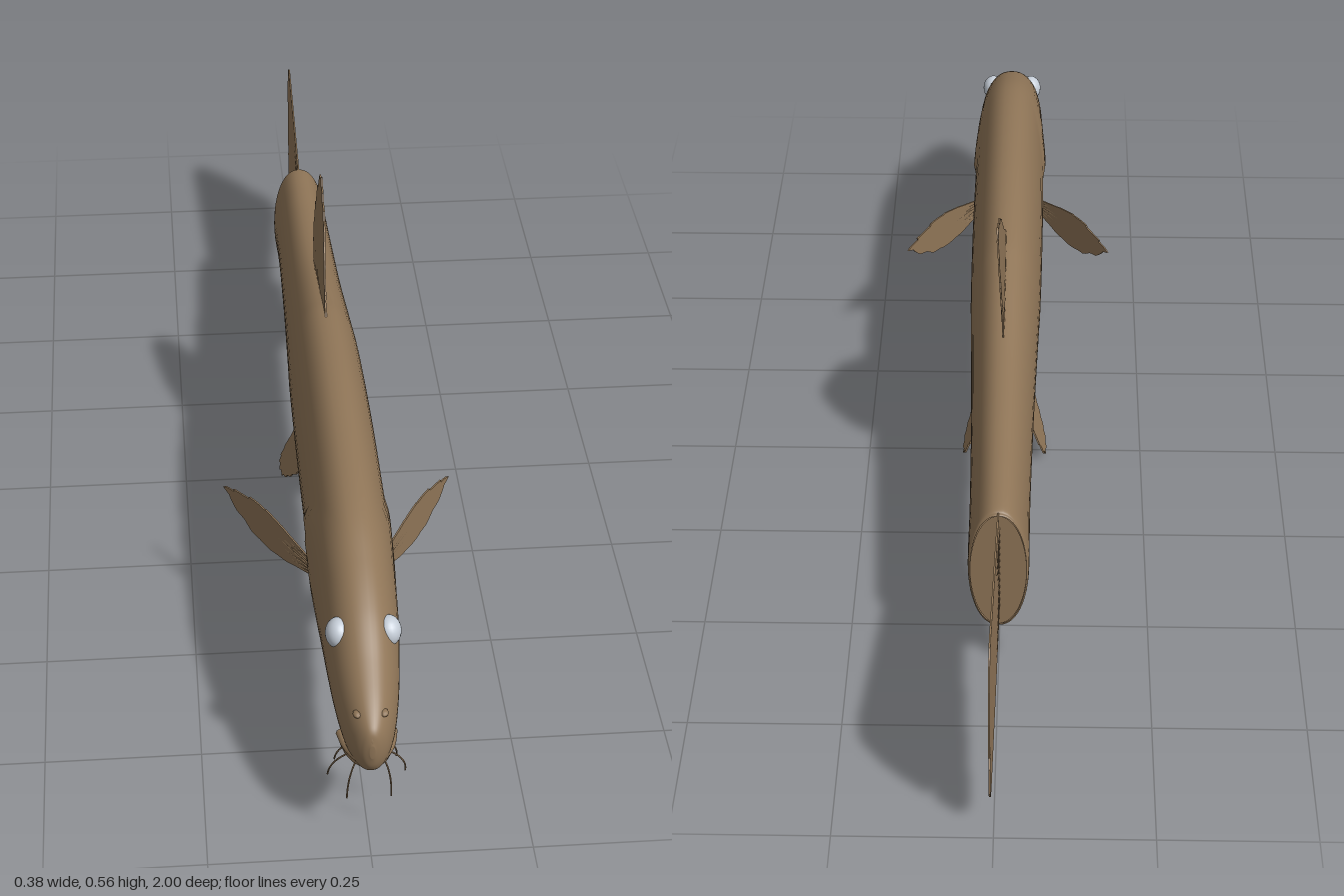
import * as THREE from 'three';
import { mergeGeometries } from 'three/addons/utils/BufferGeometryUtils.js';

const skin = new THREE.MeshStandardMaterial({ color: 0x8f7557, side: THREE.DoubleSide });
skin.name = 'brown skin';
const eyeMat = new THREE.MeshStandardMaterial({ color: 0xc6ced8 });
eyeMat.name = 'pale eye';

const V = (x, y, z) => new THREE.Vector3(x, y, z);

function add(parent, geometry, material, name) {
  const mesh = new THREE.Mesh(geometry, material);
  mesh.name = name;
  parent.add(mesh);
  return mesh;
}

// Body stations from tail to snout: z, belly height, back height, half width
const stations = [
  [-0.6, 0.097, 0.32, 0.046], [-0.585, 0.09, 0.328, 0.05], [-0.5, 0.112, 0.335, 0.05],
  [-0.4, 0.13, 0.343, 0.051], [-0.2, 0.138, 0.365, 0.055], [0, 0.138, 0.403, 0.061],
  [0.1, 0.138, 0.419, 0.064], [0.3, 0.14, 0.431, 0.066], [0.5, 0.146, 0.428, 0.066],
  [0.65, 0.155, 0.415, 0.065], [0.75, 0.164, 0.388, 0.062], [0.83, 0.162, 0.355, 0.057],
  [0.9, 0.156, 0.313, 0.049], [0.95, 0.155, 0.283, 0.039], [0.98, 0.165, 0.262, 0.027],
  [0.994, 0.182, 0.248, 0.015], [1, 0.205, 0.228, 0.004],
];

// Raised gill cover ending in a V-shaped rear edge
function gillSwell(y, z) {
  if (y < 0.18 || y > 0.4) return 1;
  const edge = y < 0.31 ? 0.5 + (0.31 - y) * 1.8 : 0.5 + (y - 0.31) * 1.7;
  const { smoothstep } = THREE.MathUtils;
  const fade = Math.sin(Math.PI * (y - 0.18) / 0.22);
  return 1 + 0.07 * fade * smoothstep(z, edge, edge + 0.025) * (1 - smoothstep(z, edge + 0.03, edge + 0.2));
}

function bodyGeometry() {
  const heights = new THREE.CatmullRomCurve3(stations.map(s => V(s[0], s[1], s[2])), false, 'catmullrom', 0.5);
  const widths = new THREE.CatmullRomCurve3(stations.map(s => V(s[3], 0, 0)), false, 'catmullrom', 0.5);
  const rings = 192, sides = 48, pos = [], index = [];
  for (let i = 0; i <= rings; i++) {
    const h = heights.getPoint(i / rings), w = widths.getPoint(i / rings).x;
    for (let j = 0; j < sides; j++) {
      const a = j / sides * Math.PI * 2, c = Math.cos(a);
      const y = (h.y + h.z) / 2 + Math.sin(a) * (h.z - h.y) / 2;
      const x = w * Math.sign(c) * Math.pow(Math.abs(c), 0.9) * gillSwell(y, h.x);
      pos.push(x, y, h.x);
      if (i < rings) {
        const p = i * sides + j, q = i * sides + (j + 1) % sides;
        index.push(p, q, p + sides, q, q + sides, p + sides);
      }
    }
  }
  // close the snout tip
  const last = rings * sides, tip = pos.length / 3;
  pos.push(0, 0.216, 1);
  for (let j = 0; j < sides; j++) index.push(last + j, last + (j + 1) % sides, tip);
  const g = new THREE.BufferGeometry();
  g.setAttribute('position', new THREE.Float32BufferAttribute(pos, 3));
  g.setIndex(index);
  g.computeVertexNormals();
  return g;
}

// Tapered rod between two points, used for fin rays
function rod(a, b, r) {
  const dir = b.clone().sub(a), g = new THREE.CylinderGeometry(r * 0.2, r, dir.length(), 5);
  g.applyQuaternion(new THREE.Quaternion().setFromUnitVectors(V(0, 1, 0), dir.clone().normalize()));
  const m = a.clone().add(b).multiplyScalar(0.5);
  return g.translate(m.x, m.y, m.z);
}

// Thin fin: outline in (u, v), with the first and last points on the body;
// place() maps (u, v, thickness offset) into the model
function fin(parent, name, outline, place, { teeth = 0, rays = 7, reach = 0.7, smooth = true } = {}) {
  const pts = outline.map(p => new THREE.Vector2(...p));
  const root = pts[0].clone().lerp(pts[pts.length - 1], 0.5);
  let edge = pts;
  if (smooth) {
    const n = 48;
    edge = new THREE.SplineCurve(pts).getPoints(n).map((p, i) => {
      const inner = i < 6 || i > n - 6;
      return inner ? p : p.sub(root).multiplyScalar(1 - teeth * (i % 4) / 3).add(root);
    });
  }
  const plate = new THREE.ExtrudeGeometry(new THREE.Shape(edge), { depth: 0.003, bevelEnabled: false });
  const at = plate.attributes.position;
  for (let i = 0; i < at.count; i++) {
    const p = place(at.getX(i), at.getY(i), at.getZ(i) - 0.0015);
    at.setXYZ(i, p.x, p.y, p.z);
  }
  plate.computeVertexNormals();
  const group = new THREE.Group();
  group.name = name;
  parent.add(group);
  add(group, plate, skin, name + 'Web');

  // fan of rays from the base toward the outer edge
  const parts = [];
  for (let i = 0; i < rays; i++) {
    const t = (i + 0.5) / rays;
    const a = pts[0].clone().lerp(pts[pts.length - 1], 0.1 + 0.8 * t);
    const k = (0.2 + 0.6 * t) * (edge.length - 1);
    const b = a.clone().lerp(edge[Math.round(k)], smooth ? reach : 0);
    if (!smooth) b.set(a.x - 0.12 - 0.14 * Math.abs(2 * t - 1), a.y + (a.y - root.y) * 0.22);
    parts.push(rod(place(a.x, a.y, 0), place(b.x, b.y, 0), 0.0032));
  }
  add(group, mergeGeometries(parts), skin, name + 'Rays');
}

export function createModel() {
  const fish = new THREE.Group();
  fish.name = 'fish';
  add(fish, bodyGeometry(), skin, 'body');

  // flat rear end of the body behind the tail fin base
  const rear = new THREE.CircleGeometry(1, 48);
  rear.scale(0.046, 0.1115, 1).rotateY(Math.PI).translate(0, 0.2085, -0.6);
  add(fish, rear, skin, 'tailStump');

  // Fins on the centre line
  fin(fish, 'dorsalFin',
    [[0.12, 0.405], [0.09, 0.43], [0.03, 0.475], [-0.03, 0.53], [-0.09, 0.555], [-0.14, 0.567],
      [-0.175, 0.525], [-0.188, 0.46], [-0.165, 0.365]],
    (u, v, d) => V(Math.max(0, v - 0.42) * 0.07 + d, v, u), { teeth: 0.05, rays: 9, reach: 0.6 });
  fin(fish, 'analFin',
    [[-0.33, 0.14], [-0.38, 0.098], [-0.44, 0.055], [-0.5, 0.027], [-0.56, 0.008], [-0.582, 0.035], [-0.575, 0.11]],
    (u, v, d) => V((0.1 - v) * 0.06 + d, v, u), { teeth: 0.04 });
  fin(fish, 'tailFin',
    [[-0.58, 0.322], [-0.94, 0.363], [-0.965, 0.36], [-0.985, 0.342], [-0.996, 0.3], [-1, 0.24], [-0.995, 0.168],
      [-0.972, 0.156], [-0.995, 0.145], [-0.99, 0.09], [-0.975, 0.07], [-0.95, 0.063], [-0.58, 0.112]],
    (u, v, d) => V((-0.6 - u) * 0.015 + d, v, u), { smooth: false, rays: 13 });

  for (const s of [1, -1]) {
    const side = s > 0 ? 'left' : 'right';

    // Paired fins
    fin(fish, side + 'PectoralFin',
      [[0.05, 0.198], [0.075, 0.19], [0.1, 0.181], [0.135, 0.181], [0.165, 0.2], [0.191, 0.232],
        [0.17, 0.246], [0.14, 0.256], [0.11, 0.25], [0.085, 0.238], [0.05, 0.222]],
      (u, v, d) => V(s * (u + d * 0.8), v, 0.55 - (u - 0.05) * 1.55 + d * 0.5), { teeth: 0.05, reach: 0.6 });
    fin(fish, side + 'PelvicFin',
      [[0.14, 0.155], [0.11, 0.1], [0.065, 0.055], [0.02, 0.026], [-0.03, 0.022], [-0.042, 0.05], [-0.02, 0.15]],
      (u, v, d) => V(s * (0.034 + (0.12 - v) * 0.42 + d), v, u), { teeth: 0.04 });

    // Eye
    const eye = add(fish, new THREE.SphereGeometry(0.024, 24, 16), eyeMat, side + 'Eye');
    eye.scale.set(0.85, 1.02, 1);
    eye.position.set(s * 0.038, 0.314, 0.835);

    // Nostril bump
    const nostril = add(fish, new THREE.SphereGeometry(0.007, 12, 8), skin, side + 'Nostril');
    nostril.scale.set(1, 0.7, 1.3);
    nostril.position.set(s * 0.02, 0.262, 0.963);

    // Whiskers around the mouth
    [[0.022, 0.17, 0.965, 0.034, 0.088, 0.955], [0.03, 0.17, 0.945, 0.06, 0.098, 0.91],
      [0.033, 0.168, 0.925, 0.048, 0.11, 0.89]].forEach(([x, y, z, X, Y, Z], i) => {
      const path = new THREE.QuadraticBezierCurve3(V(s * x, y, z), V(s * X, (y + Y) / 2 + 0.01, (z + Z) / 2 + 0.006), V(s * X, Y, Z));
      add(fish, new THREE.TubeGeometry(path, 10, 0.0014, 5), skin, side + 'Whisker' + (i + 1));
    });
  }

  // Lips wrapping the underside of the snout
  for (const [name, drop] of [['upperLip', 0], ['lowerLip', -0.014]]) {
    const path = new THREE.CatmullRomCurve3([V(-0.041, 0.176, 0.905), V(-0.033, 0.18, 0.945), V(-0.018, 0.186, 0.975),
      V(0, 0.189, 0.987), V(0.018, 0.186, 0.975), V(0.033, 0.18, 0.945), V(0.041, 0.176, 0.905)]
      .map(p => V(p.x * (1 + drop * 5), p.y + drop, p.z + drop * 0.6)));
    add(fish, new THREE.TubeGeometry(path, 32, 0.0065, 8), skin, name);
  }

  // Small ridge on the snout tip
  const ridge = add(fish, new THREE.SphereGeometry(0.008, 12, 8), skin, 'snoutRidge');
  ridge.scale.set(0.8, 1.8, 0.9);
  ridge.position.set(0, 0.23, 0.992);
  return fish;
}
